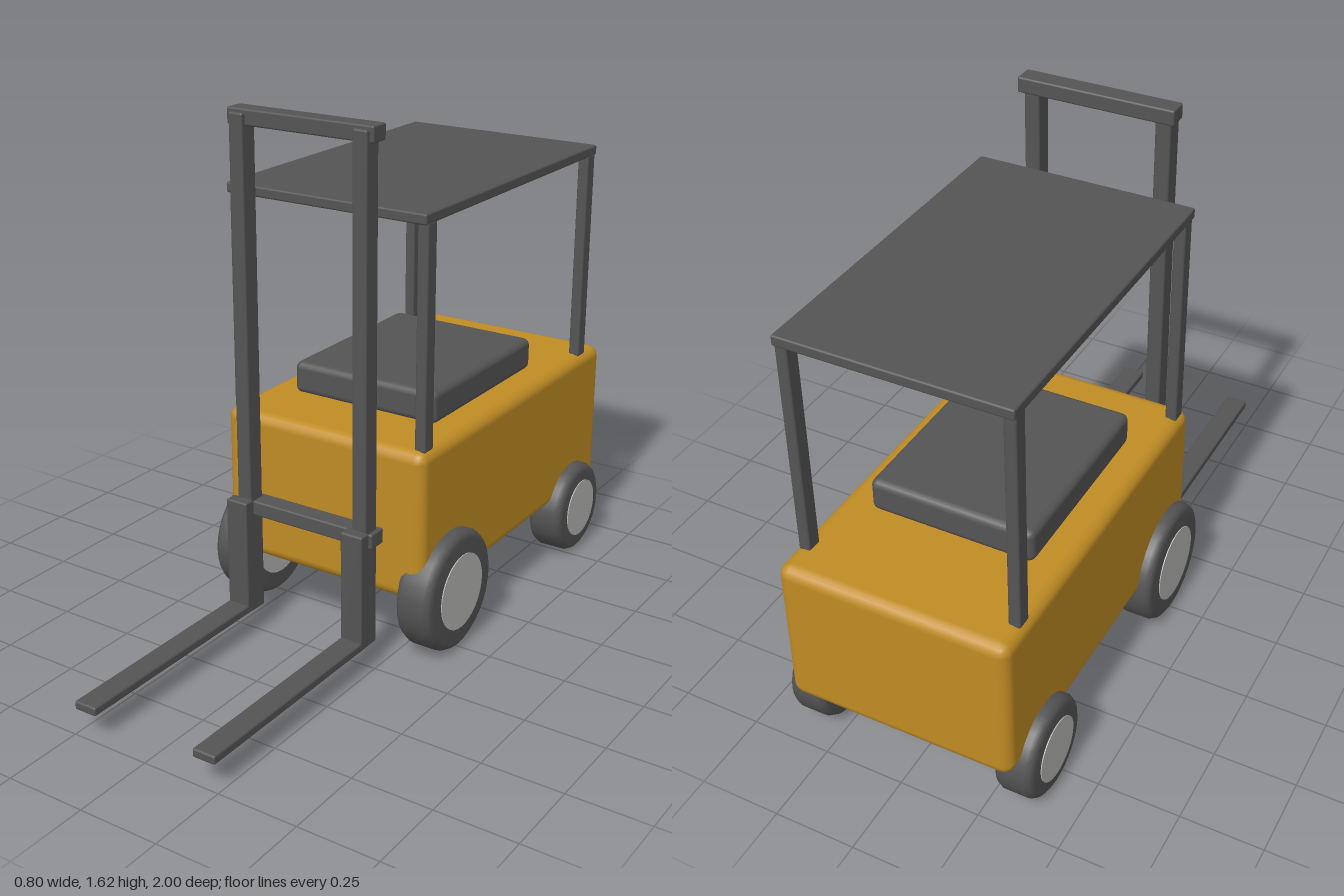
import * as THREE from 'three';
import { RoundedBoxGeometry } from 'three/addons/geometries/RoundedBoxGeometry.js';

const paint = (name, color) => {
  const m = new THREE.MeshStandardMaterial({ color });
  m.name = name;
  return m;
};

export function createModel() {
  const yellow = paint('bodyYellow', 0xc08c24);
  const dark = paint('darkGrey', 0x545454);
  const silver = paint('hubGrey', 0xb8b8b5);
  const model = new THREE.Group();
  model.name = 'forklift';

  // Softly bevelled block given by its limits on each axis
  const block = (name, material, [x0, x1], [y0, y1], [z0, z1], bevel = 0.006) => {
    const mesh = new THREE.Mesh(
      new RoundedBoxGeometry(x1 - x0, y1 - y0, z1 - z0, 2, bevel), material);
    mesh.position.set((x0 + x1) / 2, (y0 + y1) / 2, (z0 + z1) / 2);
    mesh.name = name;
    model.add(mesh);
  };

  // Chassis and seat
  block('body', yellow, [-0.355, 0.352], [0.198, 0.677], [-1, 0.16], 0.036);
  block('seat', dark, [-0.258, 0.254], [0.67, 0.775], [-0.675, -0.065], 0.022);

  // Overhead guard
  block('roof', dark, [-0.345, 0.338], [1.345, 1.377], [-0.915, 0.142]);
  for (const x of [-0.325, 0.32])
    for (const z of [-0.88, 0.105])
      block('roofPost', dark, [x - 0.018, x + 0.018], [0.67, 1.35], [z - 0.024, z + 0.024]);

  // Mast rails, each with its fork
  for (const x of [-0.208, 0.204]) {
    block('mastRail', dark, [x - 0.024, x + 0.024], [0.07, 1.615], [0.209, 0.269]);
    block('forkUpright', dark, [x - 0.037, x + 0.037], [0.083, 0.452], [0.27, 0.31]);
    block('forkTine', dark, [x - 0.037, x + 0.037], [0.083, 0.11], [0.272, 1]);
  }
  for (const y of [0.415, 1.602])
    block('mastCrossbar', dark, [-0.247, 0.241], [y - 0.024, y + 0.024], [0.193, 0.256]);

  // Wheels: a bevelled tyre with a hub disc showing on both faces
  const wheel = (name, side, z, radius, hubRadius) => {
    const group = new THREE.Group();
    group.name = name;
    const w = 0.062, b = 0.024;
    const profile = [
      [0, -w], [radius - b, -w], [radius - 0.008, -w + 0.009], [radius, -w + b],
      [radius, w - b], [radius - 0.008, w - 0.009], [radius - b, w], [0, w],
    ].map(([r, y]) => new THREE.Vector2(r, y));
    const tyre = new THREE.Mesh(new THREE.LatheGeometry(profile, 32), dark);
    tyre.name = 'tyre';
    const hub = new THREE.Mesh(
      new THREE.CylinderGeometry(hubRadius, hubRadius, 2 * w + 0.006, 32), silver);
    hub.name = 'hub';
    group.add(tyre, hub);
    group.rotation.z = Math.PI / 2;
    group.position.set(side * 0.335, radius + 0.002, z);
    model.add(group);
  };
  for (const side of [-1, 1]) {
    wheel('frontWheel', side, 0, 0.19, 0.12);
    wheel('rearWheel', side, -0.807, 0.152, 0.097);
  }

  return model;
}
